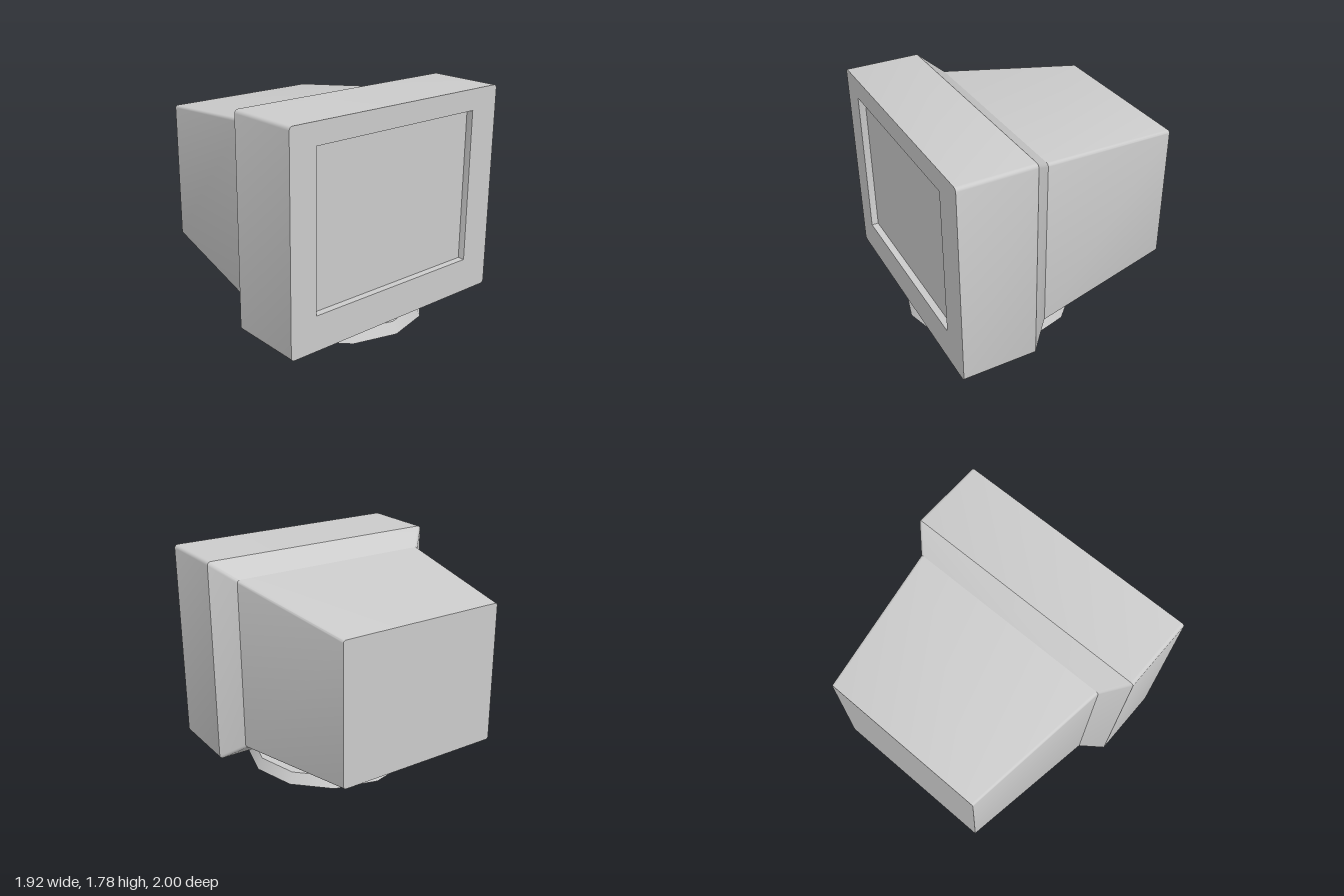
import * as THREE from 'three';
import { toCreasedNormals } from 'three/addons/utils/BufferGeometryUtils.js';

const material = new THREE.MeshStandardMaterial({ color: 0xcccccc });
const CORNER_STEPS = 4;

function add(group, name, geometry) {
  const mesh = new THREE.Mesh(geometry, material);
  mesh.name = name;
  group.add(mesh);
  return mesh;
}

// Rounded rectangle in the plane x, counter-clockwise seen from +x
function ring({ x, y0, y1, z0, z1, r }) {
  const points = [];
  const corners = [[z0, y1], [z1, y1], [z1, y0], [z0, y0]];
  corners.forEach(([z, y], c) => {
    const cz = z === z0 ? z0 + r : z1 - r;
    const cy = y === y0 ? y0 + r : y1 - r;
    for (let s = 0; s <= CORNER_STEPS; s++) {
      const a = (c + s / CORNER_STEPS) * Math.PI / 2;
      points.push(new THREE.Vector3(x, cy + r * Math.sin(a), cz - r * Math.cos(a)));
    }
  });
  return points;
}

// Skin the rings in order and close the first one
function loft(sections) {
  const rings = sections.map(ring);
  const n = rings[0].length;
  const out = [];
  const tri = (...p) => p.forEach(v => out.push(v.x, v.y, v.z));
  for (let k = 0; k + 1 < rings.length; k++) {
    const a = rings[k], b = rings[k + 1];
    for (let i = 0; i < n; i++) {
      const j = (i + 1) % n;
      tri(a[i], a[j], b[i]);
      tri(a[j], b[j], b[i]);
    }
  }
  for (let i = 1; i < n - 1; i++) tri(rings[0][0], rings[0][i + 1], rings[0][i]);
  const geometry = new THREE.BufferGeometry();
  geometry.setAttribute('position', new THREE.Float32BufferAttribute(out, 3));
  return toCreasedNormals(geometry, 0.45);
}

export function createModel() {
  const group = new THREE.Group();
  group.name = 'monitor';

  // Casing: tapered back, flared shoulder, front housing, bezel and screen recess
  const opening = { y0: 0.41, y1: 1.62, z0: -0.74, z1: 0.78, r: 0.001 };
  const screenX = 0.905;
  add(group, 'casing', loft([
    { x: -0.96, y0: 0.405, y1: 1.525, z0: -0.68, z1: 0.675, r: 0.02 },
    { x: 0.2, y0: 0.265, y1: 1.66, z0: -0.845, z1: 0.84, r: 0.024 },
    { x: 0.365, y0: 0.135, y1: 1.785, z0: -1, z1: 1, r: 0.028 },
    { x: 0.96, y0: 0.135, y1: 1.785, z0: -1, z1: 1, r: 0.028 },
    { x: 0.96, ...opening },
    { x: screenX, ...opening },
  ]));

  // Flat screen at the bottom of the recess
  const { y0, y1, z0, z1 } = opening;
  const screen = add(group, 'screen', new THREE.PlaneGeometry(z1 - z0, y1 - y0));
  screen.rotation.y = Math.PI / 2;
  screen.position.set(screenX, (y0 + y1) / 2, (z0 + z1) / 2);

  // Swivel stand: low twelve-sided foot and a neck widening up into the casing
  const foot = add(group, 'foot', new THREE.CylinderGeometry(0.663, 0.705, 0.09, 12));
  foot.position.set(0.255, 0.045, -0.01);
  const neck = add(group, 'neck', new THREE.CylinderGeometry(0.445, 0.275, 0.25, 12));
  neck.position.set(0.26, 0.215, -0.01);

  return group;
}
